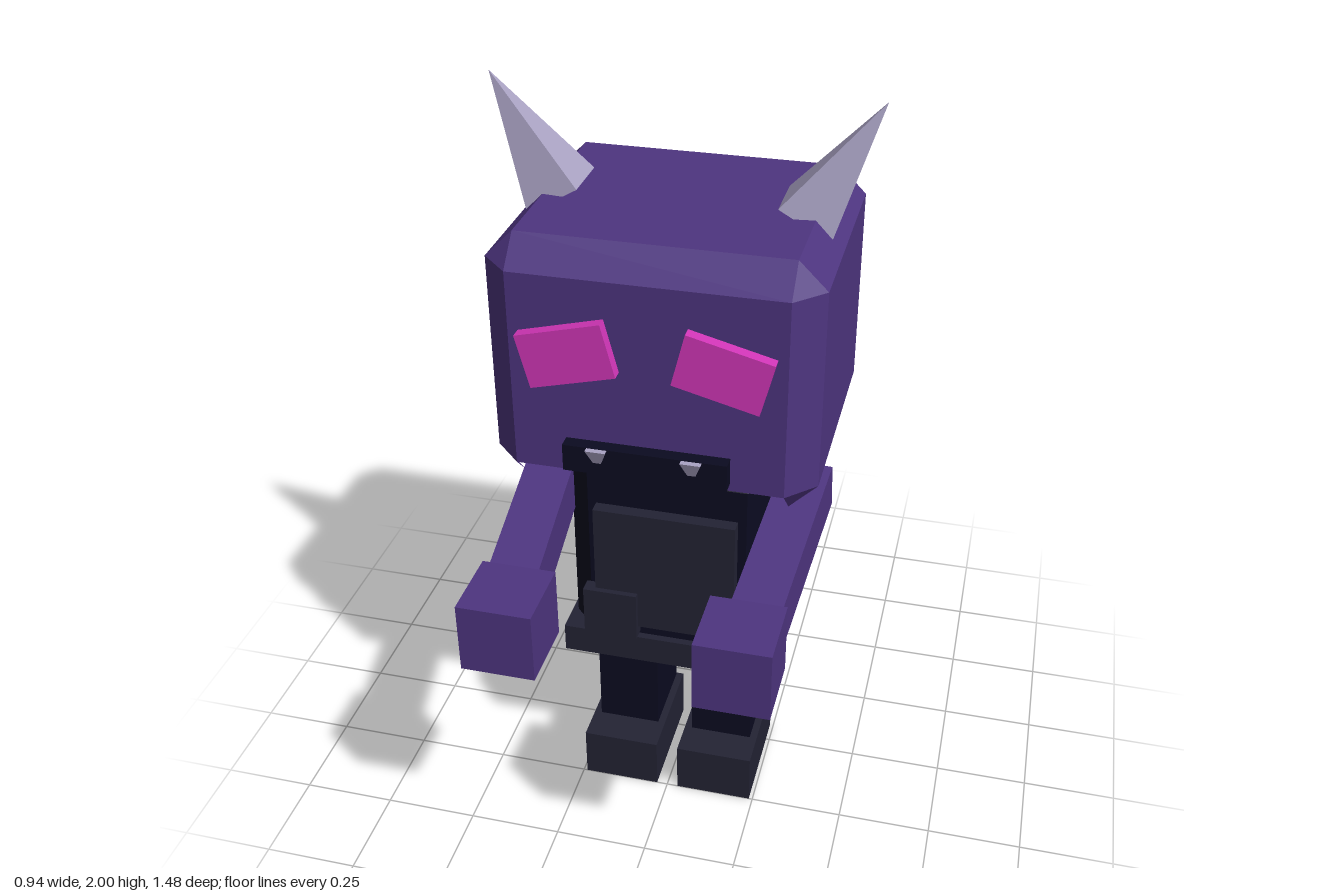
import * as THREE from 'three';

const mat = (name, color, side = THREE.FrontSide) => {
  const m = new THREE.MeshStandardMaterial({ color, side });
  m.name = name;
  return m;
};

// Box with chamfered edges and an open underside; only the small corner facets remain below.
function chamferedShell(w, h, d, c) {
  const half = [w / 2, h / 2, d / 2];
  const pos = [];
  const vert = (axis, s) => new THREE.Vector3(...half.map((v, i) => s[i] * (i === axis ? v : v - c)));
  const tri = (a, b, e) => {
    const n = b.clone().sub(a).cross(e.clone().sub(a));
    const out = a.clone().add(b).add(e);
    for (const p of n.dot(out) > 0 ? [a, b, e] : [a, e, b]) pos.push(p.x, p.y, p.z);
  };
  const quad = (a, b, e, f) => { tri(a, b, e); tri(a, e, f); };
  const signs = (o) => [0, 1, 2].map((i) => o[i]);
  for (let a = 0; a < 3; a++) {
    const b = (a + 1) % 3, k = (a + 2) % 3;
    for (const s of [-1, 1]) {
      // flat sides
      if (!(a === 1 && s < 0)) {
        const v = (p, q) => vert(a, signs({ [a]: s, [b]: p, [k]: q }));
        quad(v(-1, -1), v(1, -1), v(1, 1), v(-1, 1));
      }
      // edge strips between axes a and b
      for (const t of [-1, 1]) {
        if ((a === 1 && s < 0) || (b === 1 && t < 0)) continue;
        const v = (axis, q) => vert(axis, signs({ [a]: s, [b]: t, [k]: q }));
        quad(v(a, -1), v(b, -1), v(b, 1), v(a, 1));
      }
    }
  }
  // corner facets
  for (const x of [-1, 1]) for (const y of [-1, 1]) for (const z of [-1, 1]) {
    tri(vert(0, [x, y, z]), vert(1, [x, y, z]), vert(2, [x, y, z]));
  }
  const g = new THREE.BufferGeometry();
  g.setAttribute('position', new THREE.Float32BufferAttribute(pos, 3));
  g.computeVertexNormals();
  return g;
}

// Square pyramid or frustum pointing up +y, with flat sides facing x and z.
function pyramid(halfWidth, height, topHalf = 0) {
  return new THREE.CylinderGeometry(topHalf * Math.SQRT2, halfWidth * Math.SQRT2, height, 4)
    .rotateY(Math.PI / 4).toNonIndexed();
}

export function createModel() {
  const model = new THREE.Group();
  model.name = 'hornedFigure';
  const skin = mat('purple skin', 0x4e3580, THREE.DoubleSide);
  const dark = mat('dark suit', 0x0b0b20, THREE.DoubleSide);
  const grey = mat('charcoal cloth', 0x232334);
  const horn = mat('pale horn', 0xaaa3c4);
  const pink = mat('pink glow', 0xd236b8);

  const add = (name, geometry, material, x, y, z) => {
    const m = new THREE.Mesh(geometry, material);
    m.name = name;
    m.position.set(x, y, z);
    model.add(m);
    return m;
  };
  const box = (name, material, w, h, d, x, y, z) =>
    add(name, new THREE.BoxGeometry(w, h, d), material, x, y, z);
  const flat = (g) => { g.computeVertexNormals(); return g; };

  // head, mouth
  add('head', chamferedShell(0.8, 0.65, 0.71, 0.07), skin, 0, 1.405, 0.045);
  box('mouth', dark, 0.4, 0.07, 0.04, 0, 1.205, 0.415);

  // torso, bib and pocket
  add('torso', chamferedShell(0.54, 0.655, 0.37, 0.06), dark, 0, 0.7625, 0.045);
  box('bib', grey, 0.375, 0.36, 0.05, 0, 0.76, 0.24);
  box('pocket', grey, 0.145, 0.14, 0.04, -0.145, 0.62, 0.26);

  // belt: a hollow band around the waist
  const rect = (target, w, h) => {
    target.moveTo(-w, -h); target.lineTo(w, -h); target.lineTo(w, h); target.lineTo(-w, h);
    target.closePath();
    return target;
  };
  const band = rect(new THREE.Shape(), 0.285, 0.2);
  band.holes.push(rect(new THREE.Path(), 0.235, 0.15));
  const beltGeo = new THREE.ExtrudeGeometry(band, { depth: 0.08, bevelEnabled: false });
  add('belt', beltGeo.rotateX(-Math.PI / 2), grey, 0, 0.45, 0.05);
  box('beltTab', horn, 0.06, 0.06, 0.04, 0, 0.43, 0.05);

  // tail with a pointed tip
  const tail = add('tail', flat(pyramid(0.065, 0.5, 0.004)), dark, 0, 0.52, -0.35);
  const tip = add('tailTip', flat(pyramid(0.05, 0.14)), horn, 0, 0.52, -0.67);
  tail.rotation.x = tip.rotation.x = -Math.PI / 2;

  for (const s of [-1, 1]) {
    const side = s > 0 ? 'left' : 'right';

    // horn leaning outward
    const h = add(side + 'Horn', flat(pyramid(0.073, 0.33)), horn, s * 0.388, 1.857, 0.045);
    h.rotation.z = -s * Math.PI / 6;

    // slanted eye and fang
    const eye = box(side + 'Eye', pink, 0.213, 0.137, 0.04, s * 0.185, 1.475, 0.41);
    eye.rotation.z = -s * 0.25;
    const fang = add(side + 'Fang', flat(pyramid(0.025, 0.065)), horn, s * 0.115, 1.207, 0.425);
    fang.rotation.x = Math.PI;

    // arm reaching forward, ending in a fist
    const from = new THREE.Vector3(s * 0.335, 0.97, 0.045);
    const to = new THREE.Vector3(s * 0.297, 0.862, 0.6);
    const mid = from.clone().add(to).multiplyScalar(0.5);
    const arm = box(side + 'Arm', skin, 0.125, 0.13, from.distanceTo(to), mid.x, mid.y, mid.z);
    arm.lookAt(to);
    box(side + 'Fist', skin, 0.185, 0.185, 0.185, s * 0.283, 0.862, 0.648);

    // leg and boot
    box(side + 'Leg', dark, 0.17, 0.29, 0.215, s * 0.135, 0.285, 0.048);
    box(side + 'Boot', grey, 0.21, 0.145, 0.315, s * 0.135, 0.0725, 0.0925);
  }
  return model;
}
